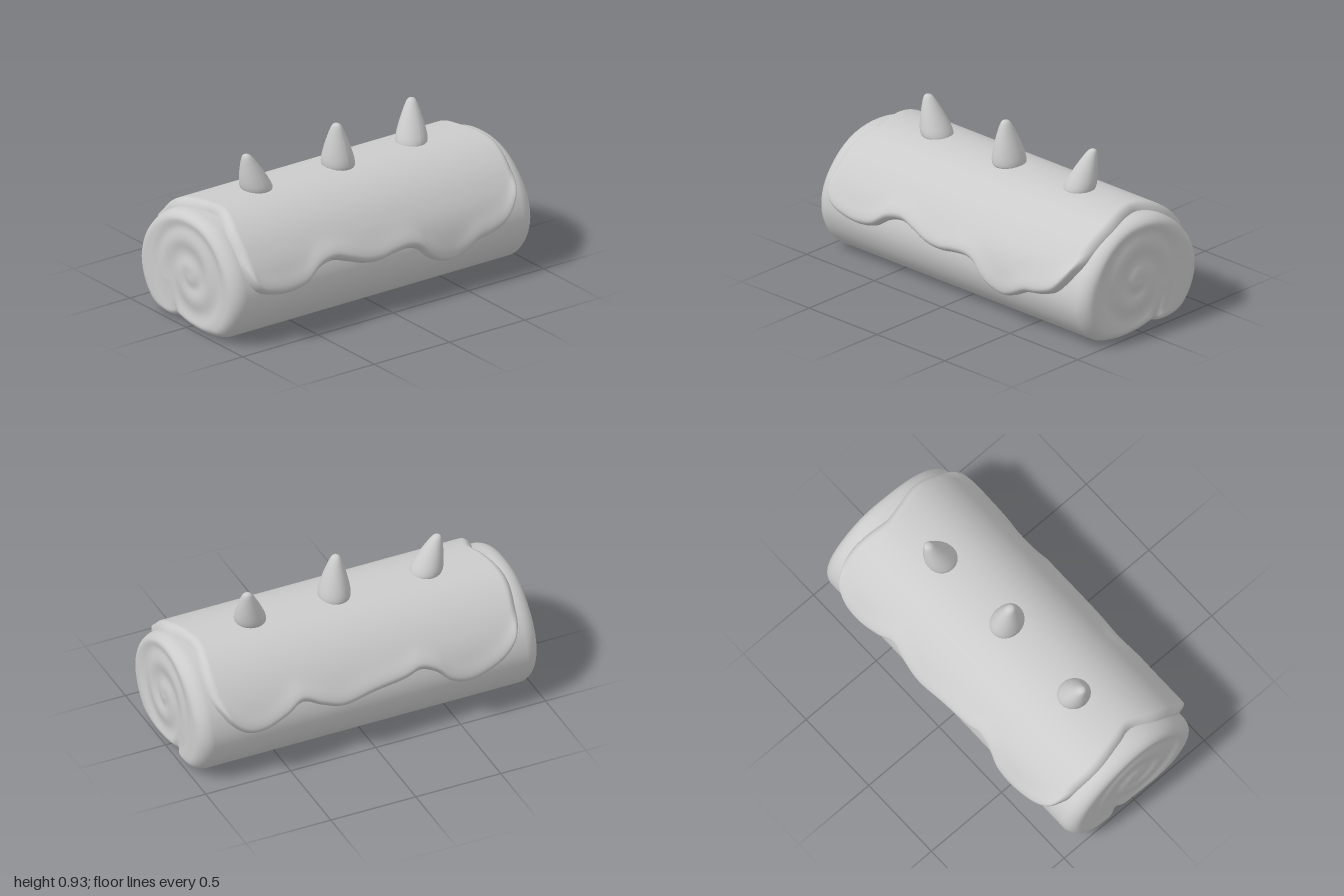
import * as THREE from 'three';

const material = new THREE.MeshStandardMaterial({ color: 0xcccccc, side: THREE.DoubleSide });
const CY = 0.3; // height of the roll's axis

// Smooth lookup y(x) through a few points sorted by x
function lookup(points, samples = 300) {
  const p = new THREE.CatmullRomCurve3(points.map(([x, y]) => new THREE.Vector3(x, y, 0)), false, 'centripetal').getPoints(samples);
  return (x) => {
    if (x <= p[0].x) return p[0].y;
    let k = 1;
    while (k < p.length - 1 && p[k].x < x) k++;
    const span = p[k].x - p[k - 1].x || 1;
    return THREE.MathUtils.lerp(p[k - 1].y, p[k].y, Math.min((x - p[k - 1].x) / span, 1));
  };
}

// Surface from a grid of points; closed joins the last column to the first
function gridMesh(name, rows, cols, closed, point, keep = () => true) {
  const pos = [], index = [];
  const w = closed ? cols : cols + 1;
  for (let i = 0; i <= rows; i++) for (let j = 0; j < w; j++) pos.push(...point(i, j));
  for (let i = 0; i < rows; i++) for (let j = 0; j < cols; j++) {
    if (!keep(i, j)) continue;
    const a = i * w + j, b = i * w + ((j + 1) % w);
    index.push(a, a + w, b, b, a + w, b + w);
  }
  const g = new THREE.BufferGeometry();
  g.setAttribute('position', new THREE.Float32BufferAttribute(pos, 3));
  g.setIndex(index);
  g.computeVertexNormals();
  const mesh = new THREE.Mesh(g, material);
  mesh.name = name;
  return mesh;
}

// Roll cross-section (z, y), turned into a radius by angle about the axis
const section = [
  [0.43, 0.3], [0.4, 0.4], [0.33, 0.5], [0.2, 0.602], [0, 0.648], [-0.2, 0.61], [-0.33, 0.515],
  [-0.42, 0.385], [-0.445, 0.27], [-0.43, 0.18], [-0.38, 0.085], [-0.32, 0.03], [-0.2, 0.006],
  [-0.12, 0.013], [-0.07, 0.02], [0, 0.008], [0.1, 0], [0.22, 0.008], [0.3, 0.03], [0.38, 0.11], [0.427, 0.22],
];
const polar = section.map(([z, y]) => {
  const a = Math.atan2(y - CY, z);
  return [a < -1e-6 ? a + 2 * Math.PI : a, Math.hypot(z, y - CY)];
});
const wrap = (n) => polar.map(([a, r]) => [a + n * 2 * Math.PI, r]);
const radius = lookup([...wrap(-1), ...polar, ...wrap(1)], 900);

// Swirl and overlap crease pressed into the end faces
function relief(z, y) {
  const dz = z - 0.03, dy = y - CY, r = Math.hypot(dz, dy), phi = Math.atan2(dy, dz);
  const fade = THREE.MathUtils.smoothstep(r, 0.01, 0.08) * (1 - THREE.MathUtils.smoothstep(r, 0.26, 0.34));
  const swirl = 0.012 * fade * (0.5 - 0.5 * Math.cos(2 * Math.PI * r / 0.16 - phi));
  const t = THREE.MathUtils.clamp((y - 0.02) / 0.2, 0, 1);
  const off = z - (-0.1 - 0.08 * t);
  return swirl + 0.025 * (1 - t) * Math.exp(-((off / 0.03) ** 2));
}

function makeRoll() {
  // rows of [x, scale]: end face, rounded rim, straight body
  const half = [];
  for (let i = 0; i <= 22; i++) half.push([1, 0.001 + 0.839 * i / 22]);
  for (let i = 1; i <= 8; i++) {
    const a = (i / 8) * Math.PI / 2;
    half.push([0.92 + 0.08 * Math.cos(a), 0.84 + 0.16 * Math.sin(a)]);
  }
  half.push([0.79, 1], [0.4, 1]);
  const rows = [...half.map(([x, s]) => [-x, s]), [0, 1], ...half.slice().reverse()];
  const cols = 160;
  return gridMesh('cakeRoll', rows.length - 1, cols, true, (i, j) => {
    const a = (j / cols) * 2 * Math.PI, [x, s] = rows[i];
    const z = s * radius(a) * Math.cos(a), y = CY + s * radius(a) * Math.sin(a);
    const dent = Math.abs(x) > 0.92 ? relief(z, y) : 0;
    return [x - Math.sign(x) * dent, y, z];
  }, (i, j) => {
    // rectangular opening underneath
    const mid = (rows[i][0] + rows[i + 1][0]) / 2;
    const a = ((j + 0.5) / cols) * 2 * Math.PI;
    return !(Math.abs(mid) < 0.79 && Math.abs(a - 1.5 * Math.PI) < 0.64);
  });
}

// Icing edges: drip heights along x, and end positions across z
const frontDrip = lookup([
  [-0.93, 0.46], [-0.9, 0.36], [-0.85, 0.3], [-0.75, 0.268], [-0.65, 0.26], [-0.55, 0.28], [-0.45, 0.345],
  [-0.35, 0.365], [-0.25, 0.335], [-0.15, 0.3], [-0.05, 0.29], [0.05, 0.305], [0.15, 0.31], [0.22, 0.285],
  [0.28, 0.225], [0.35, 0.185], [0.43, 0.17], [0.5, 0.19], [0.6, 0.24], [0.7, 0.26], [0.8, 0.3], [0.87, 0.38], [0.93, 0.5],
]);
const backDrip = lookup([
  [-0.93, 0.48], [-0.87, 0.37], [-0.8, 0.31], [-0.7, 0.265], [-0.58, 0.24], [-0.48, 0.265], [-0.4, 0.335],
  [-0.3, 0.375], [-0.2, 0.35], [0, 0.325], [0.2, 0.295], [0.32, 0.33], [0.43, 0.375], [0.55, 0.32],
  [0.7, 0.275], [0.8, 0.29], [0.88, 0.36], [0.93, 0.46],
]);
const minEnd = lookup([[-0.45, -0.89], [-0.25, -0.925], [0, -0.89], [0.12, -0.865], [0.3, -0.91], [0.45, -0.92]]);
const maxEnd = lookup([[-0.45, 0.87], [-0.38, 0.91], [-0.1, 0.885], [0, 0.9], [0.2, 0.94], [0.32, 0.935], [0.45, 0.91]]);

function makeIcing() {
  const rows = 150, cols = 100;
  const ease = (t) => Math.sin((t - 0.5) * Math.PI); // denser toward the edges
  const lip = (d) => Math.sqrt(1 - (1 - Math.min(d / 0.05, 1)) ** 2);
  const angle = (y) => Math.asin((y - CY) / 0.46);
  return gridMesh('icing', rows, cols, false, (i, j) => {
    const u = ease(i / rows), v = (ease(j / cols) + 1) / 2;
    const a0 = angle(frontDrip(0.93 * u)), a1 = Math.PI - angle(backDrip(0.93 * u));
    const a = THREE.MathUtils.lerp(a0, a1, v), across = 0.45 * Math.cos(a);
    const x = THREE.MathUtils.lerp(minEnd(across), maxEnd(across), (u + 1) / 2);
    const dArc = Math.min(v, 1 - v) * (a1 - a0) * 0.45, dEnd = (1 - Math.abs(u)) * 0.92;
    const bulge = 0.014 * Math.exp(-(((dArc - 0.05) / 0.06) ** 2));
    const r = radius((a + 2 * Math.PI) % (2 * Math.PI)) - 0.03 + (0.073 + bulge) * lip(dArc) * lip(dEnd);
    return [x, CY + r * Math.sin(a), r * Math.cos(a)];
  });
}

// Rounded peak leaning toward its tip
function makePeak(name, x, z, height, leanX, leanZ, depth) {
  const profile = [[0.07, -0.04], [0.084, 0], [0.086, 0.1], [0.08, 0.25], [0.066, 0.47], [0.049, 0.69],
    [0.034, 0.86], [0.023, 0.95], [0.012, 0.988], [0, 1]].map(([r, h]) => new THREE.Vector2(r, h));
  const g = new THREE.LatheGeometry(new THREE.SplineCurve(profile).getPoints(36), 32);
  const p = g.attributes.position;
  for (let i = 0; i < p.count; i++) {
    const h = Math.max(p.getY(i), 0);
    p.setXYZ(i, p.getX(i) + leanX * h, p.getY(i) * height, p.getZ(i) * depth + leanZ * h);
  }
  g.computeVertexNormals();
  const mesh = new THREE.Mesh(g, material);
  mesh.name = name;
  mesh.position.set(x, 0.685, z);
  return mesh;
}

export function createModel() {
  const group = new THREE.Group();
  group.name = 'rollCake';
  group.add(
    makeRoll(),
    makeIcing(),
    makePeak('rightPeak', -0.525, -0.01, 0.21, -0.07, 0, 1.04),
    makePeak('middlePeak', 0.012, -0.005, 0.245, -0.018, 0.012, 1.15),
    makePeak('leftPeak', 0.512, -0.02, 0.222, 0.045, -0.06, 1),
  );
  return group;
}
